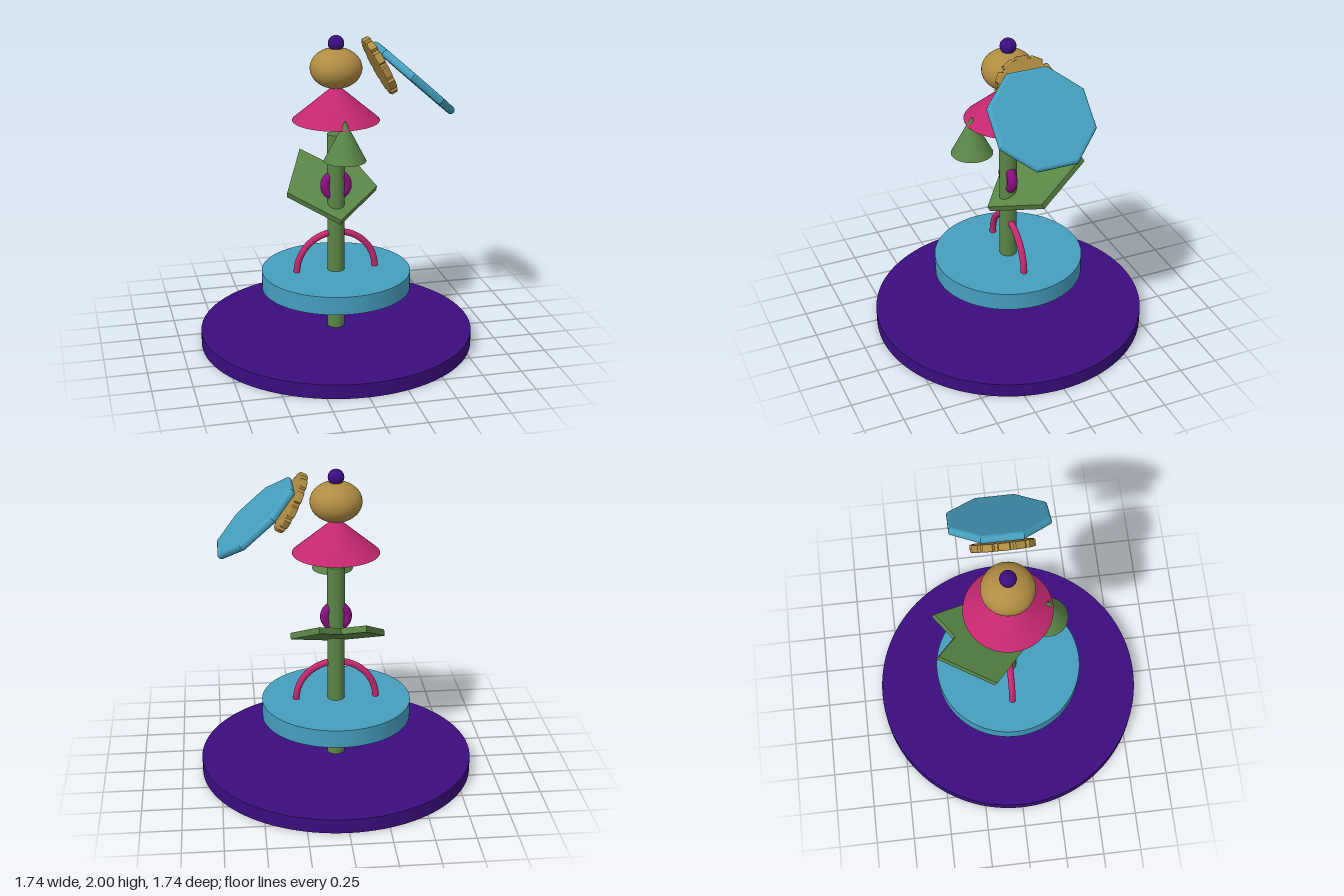
import * as THREE from 'three';

const mat = (name, color) => {
  const m = new THREE.MeshStandardMaterial({ color });
  m.name = name;
  return m;
};

export function createModel() {
  const indigo = mat('indigo', 0x3a0d7e);
  const blue = mat('blue', 0x459fbf);
  const green = mat('green', 0x5a8646);
  const pink = mat('pink', 0xc4286f);
  const purple = mat('purple', 0x8c0f82);
  const gold = mat('gold', 0xb08c42);

  const model = new THREE.Group();
  model.name = 'stackedSculpture';
  const add = (name, geometry, material, x, y, z) => {
    const mesh = new THREE.Mesh(geometry, material);
    mesh.name = name;
    mesh.position.set(x, y, z);
    model.add(mesh);
    return mesh;
  };
  const shapeFrom = (pts) => new THREE.Shape(pts.map(([x, y]) => new THREE.Vector2(x, y)));

  // Slab centred on its own thickness, with an optional rounded rim
  const slab = (pts, thickness, bevel = 0) => {
    const depth = thickness - 2 * bevel;
    const g = new THREE.ExtrudeGeometry(shapeFrom(pts), {
      depth, bevelEnabled: bevel > 0, bevelThickness: bevel,
      bevelSize: bevel, bevelOffset: -bevel, bevelSegments: 4,
    });
    g.translate(0, 0, -depth / 2);
    return g;
  };
  // Turn a slab to face +x, tipped upward by the given angle
  const faceLeft = (mesh, degrees) =>
    mesh.rotation.set(-THREE.MathUtils.degToRad(degrees), Math.PI / 2, 0, 'YXZ');

  // Base, pole and lower disc
  add('base', new THREE.CylinderGeometry(0.872, 0.872, 0.092, 96), indigo, 0, 0.046, 0);
  add('pole', new THREE.CylinderGeometry(0.055, 0.055, 1.29, 48), green, 0, 0.735, 0);
  add('lowerDisc', new THREE.CylinderGeometry(0.475, 0.475, 0.116, 96), blue, 0, 0.423, 0);

  // Rings threaded by the pole
  add('largeRing', new THREE.TorusGeometry(0.256, 0.021, 16, 72), pink, 0, 0.477, 0);
  add('smallRing', new THREE.TorusGeometry(0.069, 0.032, 16, 48), purple, 0, 1.045, 0);

  // Tilted crown-shaped plate
  const crown = [[0, -0.33], [0.293, -0.057], [0.14, 0.33], [0, 0.2], [-0.14, 0.33], [-0.293, -0.057]];
  add('crownPlate', slab(crown, 0.04), green, 0, 0.992, -0.16)
    .rotation.x = -THREE.MathUtils.degToRad(62.4);

  // Small cone in front and wide cone above
  add('smallCone', new THREE.ConeGeometry(0.13, 0.25, 48), green, 0, 1.402, 0.24);
  add('wideCone', new THREE.ConeGeometry(0.272, 0.23, 64), pink, 0, 1.585, 0);

  // Flattened ball and knob
  add('head', new THREE.SphereGeometry(0.161, 48, 32), gold, 0, 1.797, 0).scale.y = 0.78;
  add('knob', new THREE.SphereGeometry(0.05, 32, 24), indigo, 0, 1.95, 0);

  // Toothed wheel beside the head
  const teeth = 12;
  const wheel = [];
  for (let i = 0; i < teeth; i++) {
    [[-0.32, 0.194], [0.32, 0.194], [0.4, 0.176], [0.6, 0.176]].forEach(([s, r]) => {
      const a = ((i + s) / teeth) * Math.PI * 2;
      wheel.push([Math.sin(-a) * r, Math.cos(a) * r]);
    });
  }
  faceLeft(add('toothedWheel', slab(wheel, 0.045, 0.008), gold, 0.274, 1.798, 0), 26.6);

  // Octagonal panel
  const octagon = [];
  for (let i = 0; i < 8; i++) {
    const a = ((i + 0.5) / 8) * Math.PI * 2;
    octagon.push([Math.cos(a) * 0.33, Math.sin(a) * 0.33]);
  }
  faceLeft(add('octagonPanel', slab(octagon, 0.05, 0.022), blue, 0.492, 1.707, 0), 48.1);

  return model;
}
